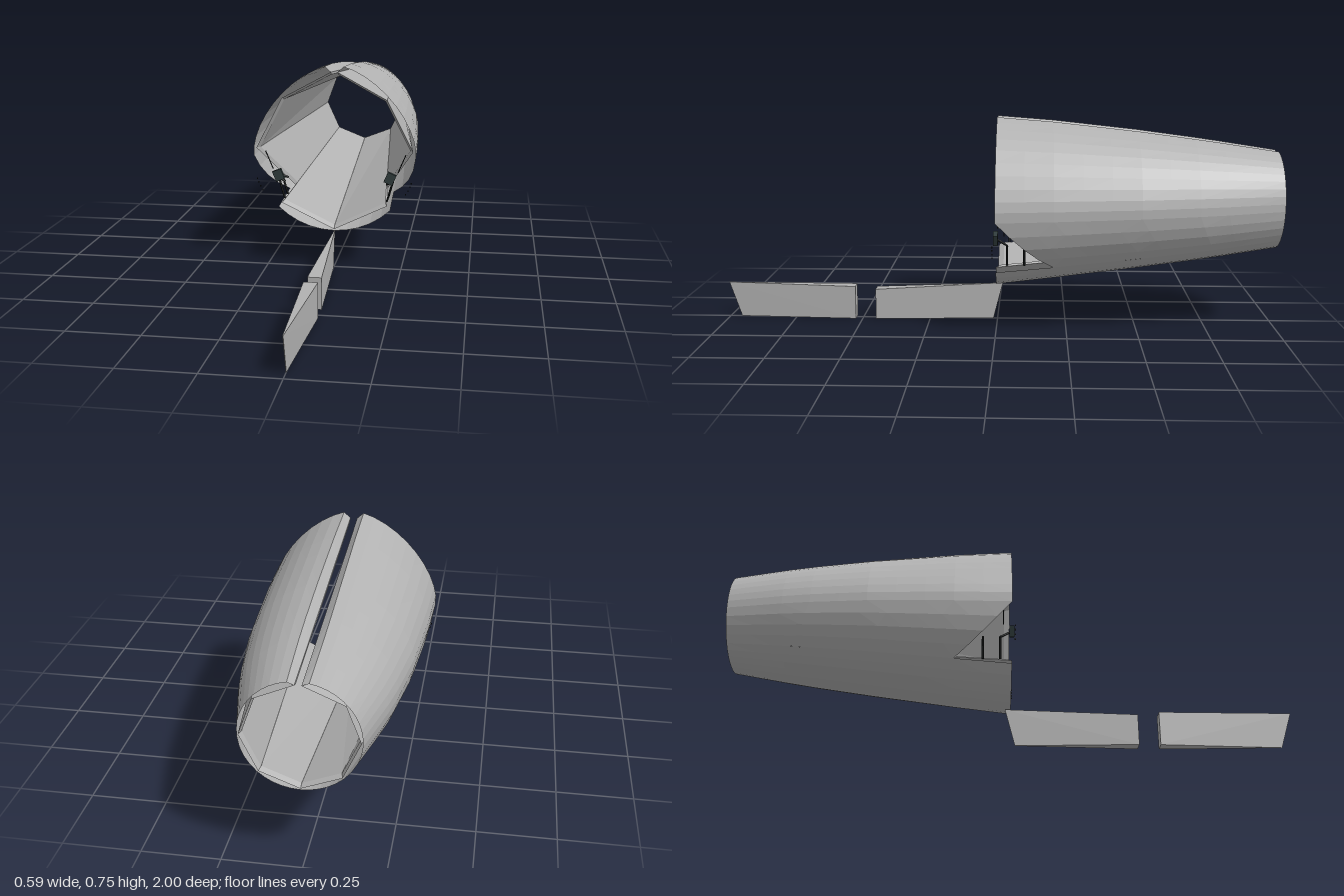
import * as THREE from 'three';

const mat = (name, color, side = THREE.FrontSide) => {
  const m = new THREE.MeshStandardMaterial({ color, side, flatShading: true });
  m.name = name;
  return m;
};

// Hull stations: distance back, half width, top, bottom, upper roundness
const stations = [
  [0, 0.298, 0.756, 0.14, 1.62],
  [0.2, 0.292, 0.74, 0.165, 1.66],
  [0.5, 0.272, 0.706, 0.205, 1.75],
  [0.75, 0.238, 0.672, 0.24, 1.87],
  [1, 0.18, 0.633, 0.28, 2],
];

function station(d) {
  let i = 0;
  while (i < stations.length - 2 && d > stations[i + 1][0]) i++;
  const a = stations[i], b = stations[i + 1];
  const t = (d - a[0]) / (b[0] - a[0]);
  return a.map((v, k) => v + (b[k] - v) * t);
}

// Point on the hull: t runs from 0 at the keel to PI at the roof
function hullPoint(t, d) {
  const [, w, top, bottom, p] = station(d);
  const cy = 0.44 + 0.015 * d;
  const upper = t > Math.PI / 2;
  const e = upper ? 2 / p : 1;
  const x = w * Math.pow(Math.sin(t), e);
  const c = Math.pow(Math.abs(Math.cos(t)), e);
  return new THREE.Vector3(x, upper ? cy + (top - cy) * c : cy - (cy - bottom) * c, -d);
}

// Surface grid from a rule giving a point for (u, v)
function surface(rule, nu, nv) {
  const pos = [], idx = [];
  for (let i = 0; i <= nu; i++) {
    for (let j = 0; j <= nv; j++) pos.push(...rule(i / nu, j / nv).toArray());
  }
  for (let i = 0; i < nu; i++) {
    for (let j = 0; j < nv; j++) {
      const a = i * (nv + 1) + j, b = a + nv + 1;
      idx.push(a, b, b + 1, a, b + 1, a + 1);
    }
  }
  const g = new THREE.BufferGeometry();
  g.setAttribute('position', new THREE.Float32BufferAttribute(pos, 3));
  g.setIndex(idx);
  g.computeVertexNormals();
  return g;
}

// Six-sided block from two matching quads
function block(a, b) {
  const g = new THREE.BufferGeometry();
  const pos = [...a, ...b].flatMap((v) => v.toArray());
  g.setAttribute('position', new THREE.Float32BufferAttribute(pos, 3));
  const idx = [0, 2, 1, 0, 3, 2, 4, 5, 6, 4, 6, 7];
  for (let i = 0; i < 4; i++) {
    const j = (i + 1) % 4;
    idx.push(i, j, j + 4, i, j + 4, i + 4);
  }
  g.setIndex(idx);
  g.computeVertexNormals();
  return g;
}

export function createModel() {
  const model = new THREE.Group();
  model.name = 'hullSection';
  const grey = mat('hullGrey', 0xb2b2b2, THREE.DoubleSide);
  const slate = mat('slate', 0x303c3c);
  const black = mat('black', 0x181c1c);
  const V = (x, y, z) => new THREE.Vector3(x, y, z);
  const add = (parent, name, geo, m) => {
    const mesh = new THREE.Mesh(geo, m);
    mesh.name = name;
    parent.add(mesh);
    return mesh;
  };

  const notchLow = 0.768, notchHigh = 1.49, roofEnd = Math.PI - 0.175;
  // Inner lining corners at the front and rear, keel to roof
  const front = [[0, 0.145], [0.195, 0.24], [0.288, 0.445], [0.192, 0.632], [0.012, 0.73]];
  const rear = [[0, 0.284], [0.122, 0.332], [0.176, 0.45], [0.133, 0.568], [0.01, 0.622]];

  for (const s of [1, -1]) {
    const half = new THREE.Group();
    half.name = s > 0 ? 'leftHalf' : 'rightHalf';
    model.add(half);
    const side = (v) => { v.x *= s; return v; };

    // Outer skin below the side notch
    add(half, 'lowerSkin', surface((u, v) => side(hullPoint(u * notchLow, v)), 5, 10), grey);
    // Outer skin above it, its front edge cut back along the notch
    const cutBack = (t) => 0.2 * Math.max(0, (notchHigh - t) / (notchHigh - notchLow));
    const split = 4, total = 14;
    add(half, 'upperSkin', surface((u, v) => {
      const i = Math.round(u * total);
      const t = i <= split
        ? notchLow + (notchHigh - notchLow) * i / split
        : notchHigh + (roofEnd - notchHigh) * (i - split) / (total - split);
      const d = cutBack(t);
      return side(hullPoint(t, d + (1 - d) * v));
    }, total, 10), grey);

    // Wall of the roof slot, from skin edge to lining
    add(half, 'slotWall', surface((u, v) => {
      const a = hullPoint(roofEnd, v);
      const b = V(0.012 - 0.002 * v, 0.73 - 0.108 * v, -v);
      return side(a.lerp(b, u));
    }, 1, 10), grey);

    // Flat lining panels with bevelled edges
    for (let i = 0; i < 4; i++) {
      const f0 = V(...front[i], 0), f1 = V(...front[i + 1], 0);
      const r0 = V(...rear[i], -1), r1 = V(...rear[i + 1], -1);
      if (i === 1) f0.lerp(r0, 0.2);
      const outer = [f0, f1, r1, r0];
      const mid = V(0, 0, 0);
      outer.forEach((p) => mid.addScaledVector(p, 0.25));
      const inward = V(-mid.x, 0.45 - mid.y, 0).normalize().multiplyScalar(0.008);
      const inner = outer.map((p) => p.clone().lerp(mid, 0.04).add(inward));
      add(half, 'liningPanel', block(outer.map((p) => side(p.clone())), inner.map(side)), grey);
    }

    // Control station in the notch
    const station = new THREE.Group();
    station.name = 'controlStation';
    half.add(station);
    const rod = (name, a, b, r) => {
      side(a); side(b);
      const m = add(station, name, new THREE.CylinderGeometry(r, r, a.distanceTo(b), 6), black);
      m.position.copy(a).add(b).multiplyScalar(0.5);
      m.quaternion.setFromUnitVectors(V(0, 1, 0), b.sub(a).normalize());
    };
    const screen = add(station, 'controlScreen', new THREE.BoxGeometry(0.034, 0.04, 0.016), slate);
    screen.position.set(0.206 * s, 0.345, 0);
    screen.rotation.z = -0.4 * s;
    rod('upperRod', V(0.26, 0.428, -0.03), V(0.232, 0.36, -0.03), 0.002);
    rod('screenArm', V(0.206, 0.345, 0), V(0.21, 0.322, -0.04), 0.004);
    for (const z of [-0.04, -0.1]) {
      rod('upperStrut', V(0.212, 0.322, z), V(0.188, 0.312, z), 0.004);
      rod('lowerStrut', V(0.212, 0.322, z), V(0.191, 0.247, z), 0.004);
    }

    // Row of small studs beside the notch
    for (const [x, y] of [[0.284, 0.331], [0.279, 0.318], [0.272, 0.303], [0.264, 0.289]]) {
      add(half, 'stud', new THREE.BoxGeometry(0.004, 0.005, 0.004), black).position.set(x * s, y, 0.01);
    }
  }

  // Two tapered keel blades, each a wedge with its thin end outward
  const blade = (name, thinTop, thinLow, thick, thickTop) => {
    const w = 0.024;
    const quad = (k) => [
      V(k * 0.001, thinTop[1], thinTop[0]), V(k * 0.001, 0, thinLow),
      V(k * w, 0, thick), V(k * w, thickTop, thick),
    ];
    add(model, name, block(quad(-1), quad(1)), grey);
  };
  blade('rearKeelBlade', [-0.02, 0.136], 0.015, 0.45, 0.112);
  blade('frontKeelBlade', [1, 0.13], 0.957, 0.525, 0.122);

  return model;
}
